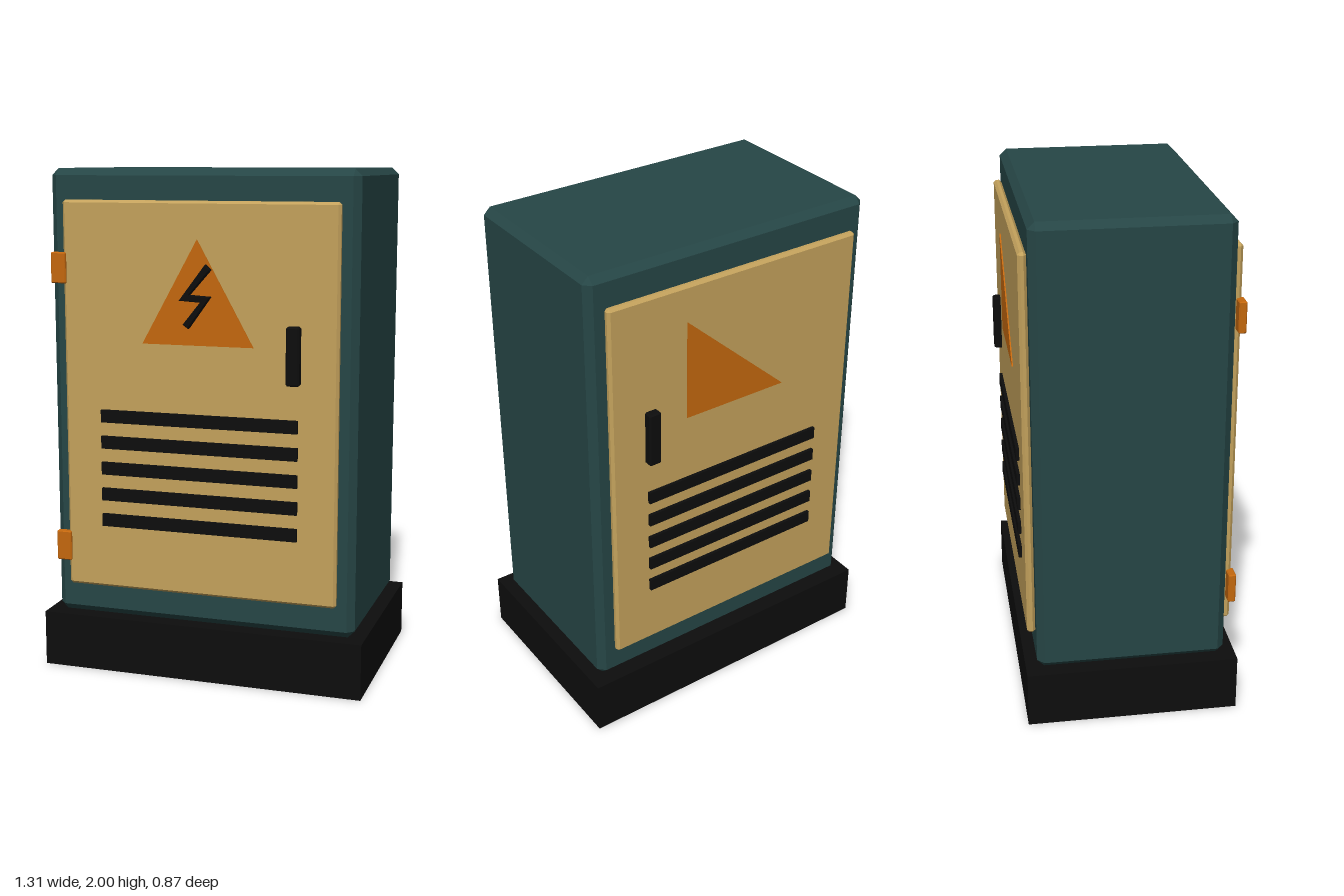
import * as THREE from 'three';
import { ConvexGeometry } from 'three/addons/geometries/ConvexGeometry.js';

const material = (name, color) => {
  const m = new THREE.MeshStandardMaterial({ color });
  m.name = name;
  return m;
};

// Box with every edge cut at 45 degrees
function chamferBox(w, h, d, c) {
  const points = [];
  for (const x of [-w / 2, w / 2])
    for (const y of [-h / 2, h / 2])
      for (const z of [-d / 2, d / 2]) {
        const ix = x - Math.sign(x) * c, iy = y - Math.sign(y) * c, iz = z - Math.sign(z) * c;
        points.push(
          new THREE.Vector3(x, iy, iz),
          new THREE.Vector3(ix, y, iz),
          new THREE.Vector3(ix, iy, z)
        );
      }
  return new ConvexGeometry(points);
}

const outline = (pts) => new THREE.Shape(pts.map(([x, y]) => new THREE.Vector2(x, y)));

export function createModel() {
  const green = material('cabinet green', 0x264646);
  const tan = material('door tan', 0xc4a25c);
  const orange = material('warning orange', 0xc4680e);
  const black = material('black', 0x0d0d0d);

  const model = new THREE.Group();
  model.name = 'electricalCabinet';
  const add = (name, geometry, mat, x, y, z) => {
    const mesh = new THREE.Mesh(geometry, mat);
    mesh.name = name;
    mesh.position.set(x, y, z);
    model.add(mesh);
  };

  // Plinth and housing
  add('plinth', new THREE.BoxGeometry(1.312, 0.222, 0.83), black, 0, 0.111, 0);
  add('housing', chamferBox(1.228, 1.778, 0.74, 0.027), green, 0, 1.111, 0);

  // Door, handle and vents, the same on both faces
  const door = chamferBox(1.1, 1.532, 0.032, 0.01);
  const handle = chamferBox(0.052, 0.222, 0.038, 0.006);
  const slat = new THREE.BoxGeometry(0.794, 0.05, 0.02);
  for (const [side, s] of [['front', 1], ['back', -1]]) {
    add(side + 'Door', door, tan, 0, 1.115, s * 0.386);
    add(side + 'Handle', handle, black, 0.38, 1.314, s * 0.414);
    for (let i = 0; i < 5; i++)
      add(side + 'VentSlat', slat, black, 0, 0.628 + i * 0.1045, s * 0.405);
  }

  // Hinges on the front door
  const hinge = chamferBox(0.062, 0.12, 0.03, 0.004);
  for (const y of [0.507, 1.62]) add('hinge', hinge, orange, -0.567, y, 0.397);

  // Warning plates: a centred triangle in front, a right-angled one behind
  const plate = (apexX) => new THREE.ExtrudeGeometry(
    outline([[-0.222, 1.338], [0.222, 1.338], [apexX, 1.738]]),
    { depth: 0.006, bevelEnabled: false }
  );
  add('frontWarningPlate', plate(0), orange, 0, 0, 0.401);
  add('backWarningPlate', plate(0.222), orange, 0, 0, -0.407);

  // Raised zigzag bolt
  const bolt = new THREE.ExtrudeGeometry(
    outline([
      [0.042, 1.648], [-0.063, 1.51], [0.021, 1.505], [-0.048, 1.42],
      [-0.026, 1.404], [0.063, 1.527], [-0.021, 1.532], [0.063, 1.627]
    ]),
    { depth: 0.016, bevelThickness: 0.005, bevelSize: 0.004, bevelOffset: -0.004, bevelSegments: 1 }
  );
  add('bolt', bolt, black, 0, 0, 0.419);

  // The plinth sits slightly back of centre
  model.position.z = -0.007;
  const root = new THREE.Group();
  root.name = 'cabinet';
  root.add(model);
  return root;
}
